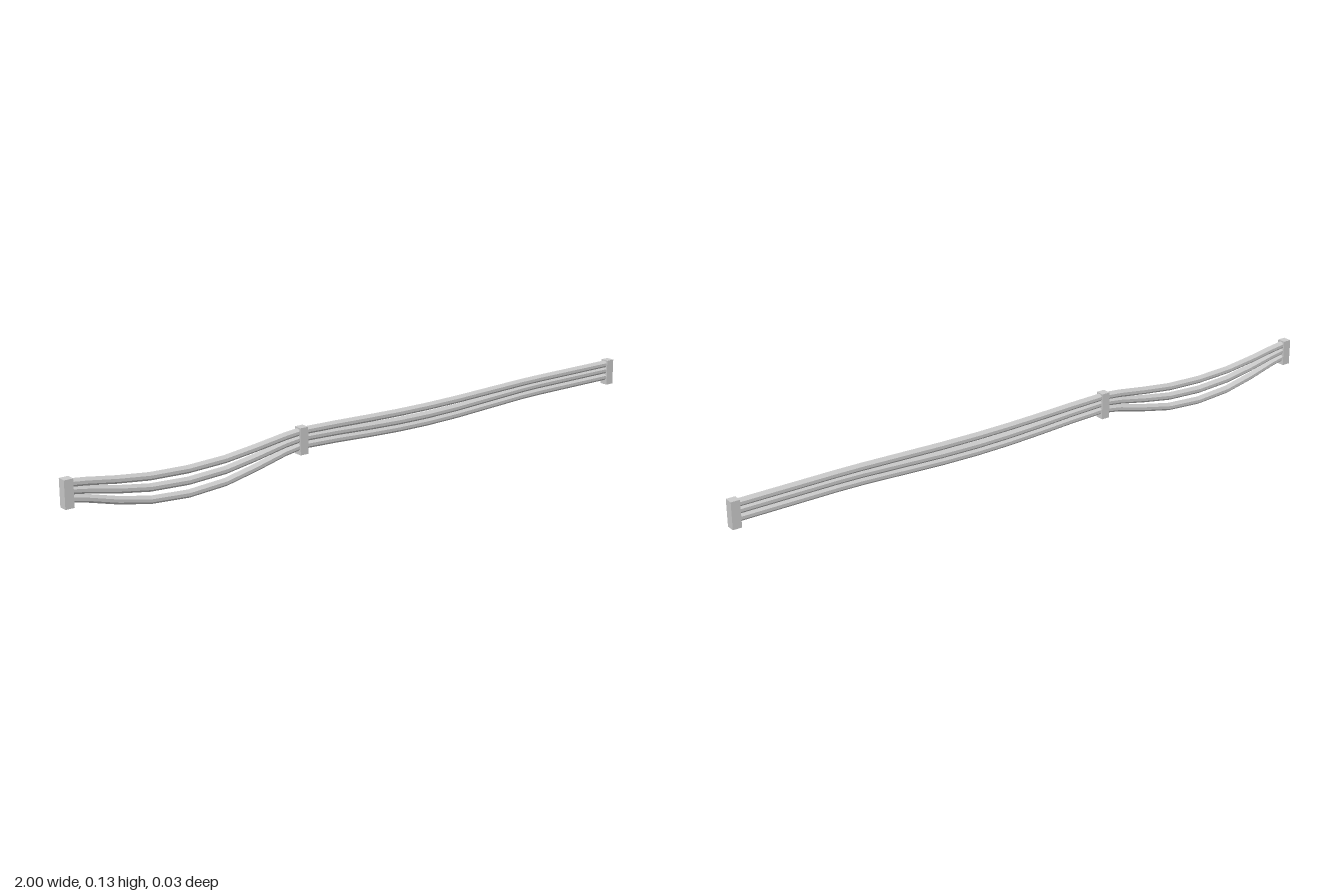
import * as THREE from 'three';

const material = new THREE.MeshStandardMaterial({ color: 0xcccccc, flatShading: true });
const RADIUS = 0.0105;

// Sag profiles: [x, fraction of full dip]
const LONG_SAG = [[-0.24, 0], [-0.12, 0.25], [0, 0.65], [0.11, 0.92], [0.22, 1], [0.34, 0.85], [0.46, 0.5], [0.6, 0.1], [0.68, 0], [0.985, 0]];
const SHORT_SAG = [[-0.985, 0], [-0.93, 0.18], [-0.84, 0.56], [-0.74, 0.88], [-0.62, 1], [-0.5, 0.87], [-0.4, 0.54], [-0.3, 0.15], [-0.24, 0]];

// Octagonal cable: one ring of the cylinder per profile point, tilted to follow the sag
function cable(name, profile, height, depth) {
  const last = profile.length - 1;
  const pts = profile.map(([x, f]) => new THREE.Vector2(x, height - depth * f));
  const geo = new THREE.CylinderGeometry(RADIUS / Math.cos(Math.PI / 8), RADIUS / Math.cos(Math.PI / 8), last, 8, last);
  geo.rotateY(Math.PI / 8).rotateZ(-Math.PI / 2);
  const pos = geo.attributes.position;
  for (let i = 0; i < pos.count; i++) {
    const k = Math.round(pos.getX(i) + last / 2);
    const dir = pts[Math.min(k + 1, last)].clone().sub(pts[Math.max(k - 1, 0)]).normalize();
    const y = pos.getY(i);
    pos.setXY(i, pts[k].x - dir.y * y, pts[k].y + dir.x * y);
  }
  geo.computeVertexNormals();
  const mesh = new THREE.Mesh(geo, material);
  mesh.name = name;
  return mesh;
}

export function createModel() {
  const group = new THREE.Group();
  group.name = 'cableRun';

  // Wall clamps
  for (const [name, x] of [['rightClamp', -0.9865], ['middleClamp', -0.24], ['leftClamp', 0.9865]]) {
    const clamp = new THREE.Mesh(new THREE.BoxGeometry(0.027, 0.08, 0.027), material);
    clamp.position.set(x, 0.09, 0);
    clamp.name = name;
    group.add(clamp);
  }

  // Three cables in each span: name, height, short-span dip, long-span dip
  for (const [name, y, shortDip, longDip] of [
    ['upper', 0.117, 0.037, 0.01],
    ['middle', 0.097, 0.05, 0.016],
    ['lower', 0.075, 0.0645, 0.016],
  ]) {
    group.add(cable(name + 'ShortCable', SHORT_SAG, y, shortDip));
    group.add(cable(name + 'LongCable', LONG_SAG, y, longDip));
  }
  return group;
}
